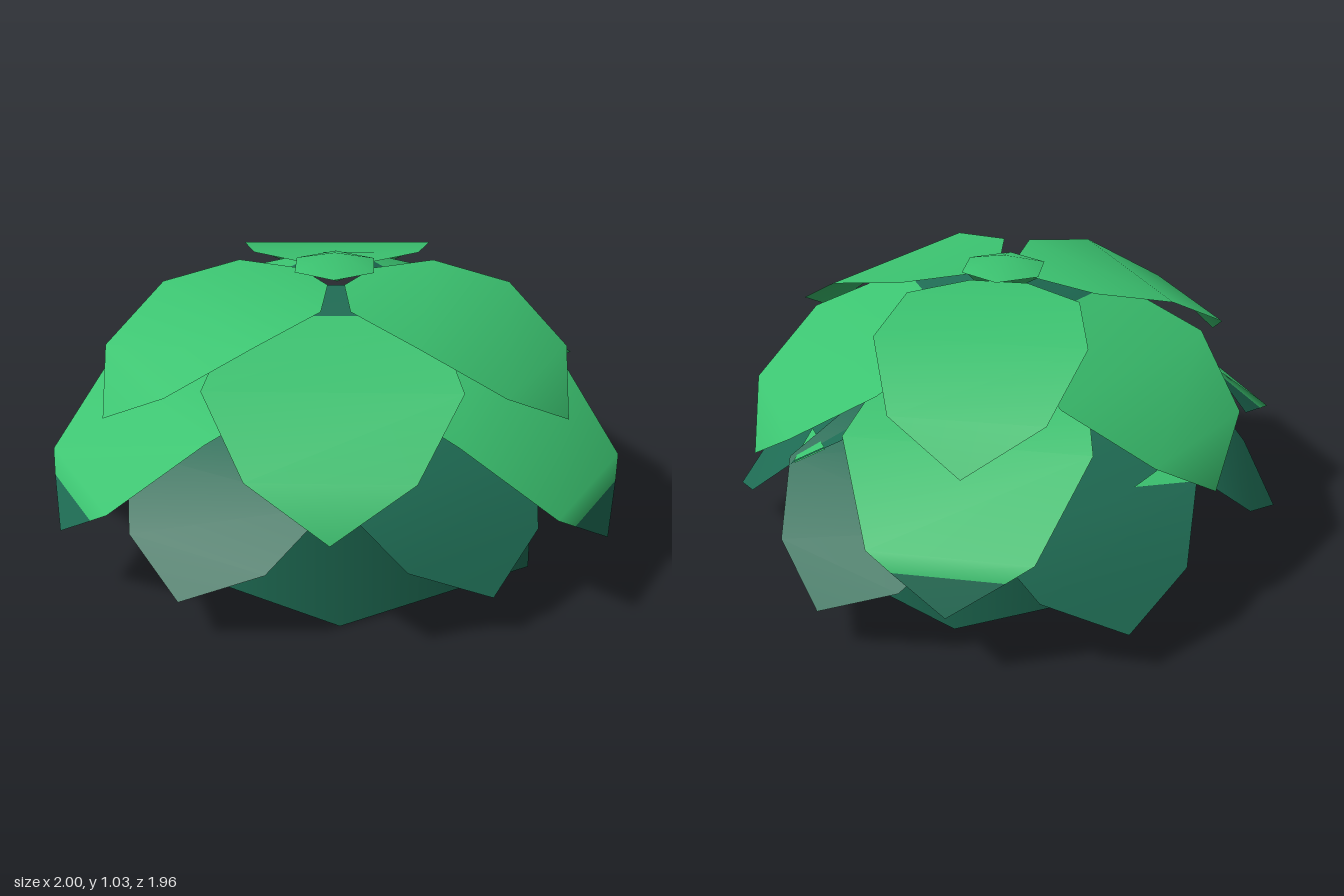
import * as THREE from 'three';
import { mergeVertices } from 'three/addons/utils/BufferGeometryUtils.js';

const rad = THREE.MathUtils.degToRad;

// A leaf plate bent along its length. Rows run from base to tip:
// [distance from axis, half width, height, colour index of the strip beyond]
function leafGeometry(rows) {
  const pos = [], index = [], g = new THREE.BufferGeometry();
  for (const [r, w, y] of rows) pos.push(-w, y, r, w, y, r);
  for (let i = 0; i < rows.length - 1; i++) {
    const a = i * 2, start = index.length;
    index.push(a, a + 2, a + 1);
    if (rows[i + 1][1] > 0) index.push(a + 1, a + 2, a + 3);
    g.addGroup(start, index.length - start, rows[i][3]);
  }
  g.setAttribute('position', new THREE.Float32BufferAttribute(pos, 3));
  g.setIndex(index);
  g.computeVertexNormals();
  return g;
}

// Thin patch near one corner of a bottom leaf, lifted to show on both faces
function patchGeometry() {
  const pos = [];
  for (const s of [-0.004, 0.004]) {
    for (const [x, y, z] of [[0.17, 0.462, 0.672], [0.39, 0.45, 0.7], [0.369, 0.495, 0.595]]) {
      pos.push(x, y + s * 0.92, z + s * 0.39);
    }
  }
  const g = new THREE.BufferGeometry();
  g.setAttribute('position', new THREE.Float32BufferAttribute(pos, 3));
  g.computeVertexNormals();
  return g;
}

export function createModel() {
  const model = new THREE.Group();
  model.name = 'leafyBush';
  const lightGreen = new THREE.MeshStandardMaterial({ color: 0x3bc370, side: THREE.DoubleSide });
  lightGreen.name = 'lightGreen';
  const darkGreen = new THREE.MeshStandardMaterial({ color: 0x1e6b53, side: THREE.DoubleSide });
  darkGreen.name = 'darkGreen';
  const materials = [lightGreen, darkGreen];

  // open hexagonal wall at the foot
  const wall = new THREE.Mesh(
    new THREE.CylinderGeometry(0.745, 0.75, 0.36, 6, 1, true, rad(4)), darkGreen);
  wall.name = 'baseWall';
  wall.position.set(0.045, 0.18, 0.025);
  model.add(wall);

  // four tiers of leaves, lowest first
  const tiers = [
    { name: 'bottomLeaf', x: -0.01, z: -0.015, angles: [37, 101, 156, 216.5, 276.5, 336.5], patch: true,
      rows: [[0.1, 0.12, 0.64, 1], [0.35, 0.32, 0.6, 1], [0.7, 0.39, 0.45, 1],
        [0.885, 0.26, 0.26, 1], [0.99, 0, 0.14, 1]] },
    { name: 'lowerLeaf', x: 0.02, z: 0.06, angles: [64, 184, 304],
      rows: [[0.1, 0.12, 0.77, 1], [0.38, 0.35, 0.71, 0], [0.685, 0.405, 0.64, 0],
        [0.968, 0.265, 0.4, 0], [0.995, 0.18, 0.345, 1], [1.045, 0, 0.23, 1]] },
    { name: 'middleLeaf', x: 0.02, z: 0.06, angles: [4, 124, 244],
      rows: [[0.1, 0.12, 0.95, 1], [0.26, 0.33, 0.9, 0], [0.58, 0.41, 0.77, 0],
        [0.84, 0.26, 0.59, 0], [0.917, 0, 0.42, 0]] },
    { name: 'upperLeaf', x: 0.02, z: 0.07, angles: [65, 185, 305],
      rows: [[0.09, 0.1, 0.965, 0], [0.225, 0.295, 0.96, 0], [0.495, 0.35, 0.91, 0],
        [0.757, 0.25, 0.76, 0], [0.872, 0, 0.615, 0]] },
  ];
  const patchShape = patchGeometry();
  for (const { name, x, z, angles, rows, patch } of tiers) {
    const geometry = leafGeometry(rows);
    angles.forEach((angle, i) => {
      const leaf = new THREE.Mesh(geometry, materials);
      leaf.name = name + (i + 1);
      leaf.position.set(x, 0, z);
      leaf.rotation.y = rad(angle);
      model.add(leaf);
      if (patch) {
        const spot = new THREE.Mesh(patchShape, lightGreen);
        spot.name = 'leafPatch' + (i + 1);
        leaf.add(spot);
      }
    });
  }

  // small hexagonal bud floating on top, smooth over its apex
  let budShape = new THREE.ConeGeometry(0.155, 0.045, 6, 1, true, rad(4));
  budShape.deleteAttribute('normal');
  budShape.deleteAttribute('uv');
  budShape = mergeVertices(budShape);
  budShape.computeVertexNormals();
  const bud = new THREE.Mesh(budShape, lightGreen);
  bud.name = 'topBud';
  bud.position.set(0.015, 1.01, 0.065);
  model.add(bud);

  return model;
}
